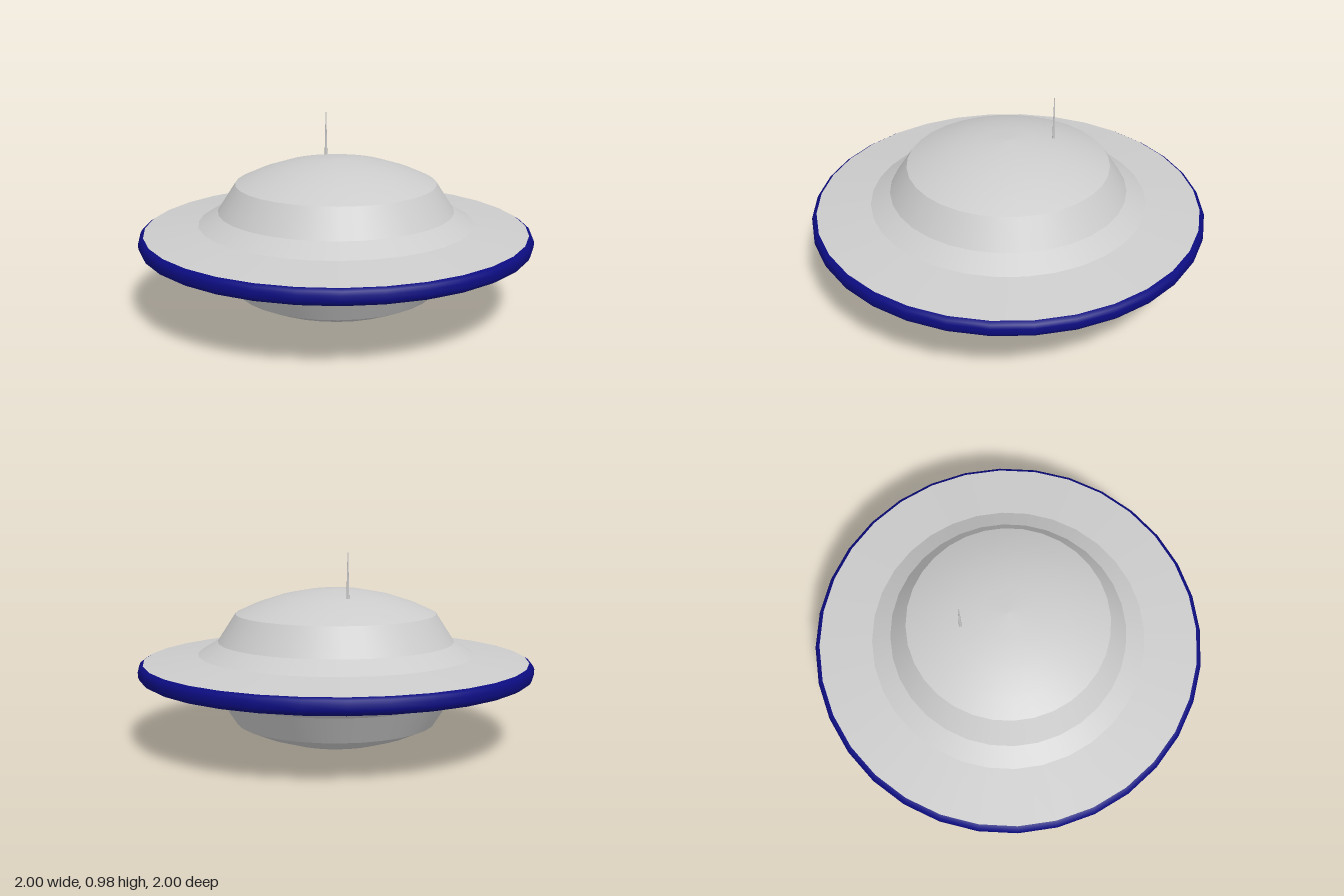
import * as THREE from 'three';

const SIDES = 32;
const MID = 0.383; // height of the rim, about which the hull mirrors

const grey = new THREE.MeshStandardMaterial({ color: 0xcccccc });
const navy = new THREE.MeshStandardMaterial({ color: 0x0c0c80 });

// One smooth turned band; points run from the bottom centre outwards and up
function band(name, points, material = grey) {
  const profile = points.map(([r, y]) => new THREE.Vector2(r, y));
  const mesh = new THREE.Mesh(new THREE.LatheGeometry(profile, SIDES), material);
  mesh.name = name;
  return mesh;
}

const mirror = (points) => points.map(([r, y]) => [r, 2 * MID - y]).reverse();

// Height of the shallow spherical crown at radius r
const crownY = (r) => 0.785 - (1.1 - Math.sqrt(1.1 * 1.1 - r * r));

export function createModel() {
  const model = new THREE.Group();
  model.name = 'flyingSaucer';

  // Upper hull, each band separate to keep the edges between them crisp
  const skirt = [[0.975, 0.424], [0.7, 0.458]];
  const shoulder = [[0.7, 0.458], [0.6, 0.52]];
  const wall = [[0.6, 0.52], [0.51, 0.66]];
  const crown = [0.51, 0.41, 0.28, 0.14, 0].map((r) => [r, crownY(r)]);
  crown[0][1] = 0.66;
  const belly = [0.51, 0.41, 0.28, 0.21].map((r) => [r, crownY(r)]);
  belly[0][1] = 0.66;
  belly[3][1] = 2 * MID;

  const bands = { Skirt: skirt, Shoulder: shoulder, Wall: wall };
  for (const [name, points] of Object.entries(bands)) {
    model.add(band('upper' + name, points));
    model.add(band('lower' + name, mirror(points)));
  }
  model.add(band('crown', crown));
  model.add(band('belly', mirror(belly)));

  // Rounded coloured rim
  model.add(band('rim', [
    [0.955, 0.342], [0.975, 0.343], [0.992, 0.353], [1, 0.37],
    [1, 0.396], [0.992, 0.413], [0.975, 0.423], [0.955, 0.424],
  ], navy));

  // Round recess under the belly with a hatch in its ceiling
  model.add(band('recessCeiling', [[0, 0.047], [0.21, 0.047]]));
  model.add(band('recessWall', [[0.21, 0.047], [0.21, 0]]));
  model.add(band('hatch', [[0, 0.043], [0.14, 0.043]]));
  model.add(band('hatchEdge', [[0.14, 0.043], [0.14, 0.047]]));

  // Thin tapering antenna behind the top of the crown
  const antenna = new THREE.Mesh(new THREE.CylinderGeometry(0.002, 0.008, 0.24, 8), grey);
  antenna.name = 'antenna';
  antenna.position.set(0, 0.86, -0.24);
  model.add(antenna);

  return model;
}
